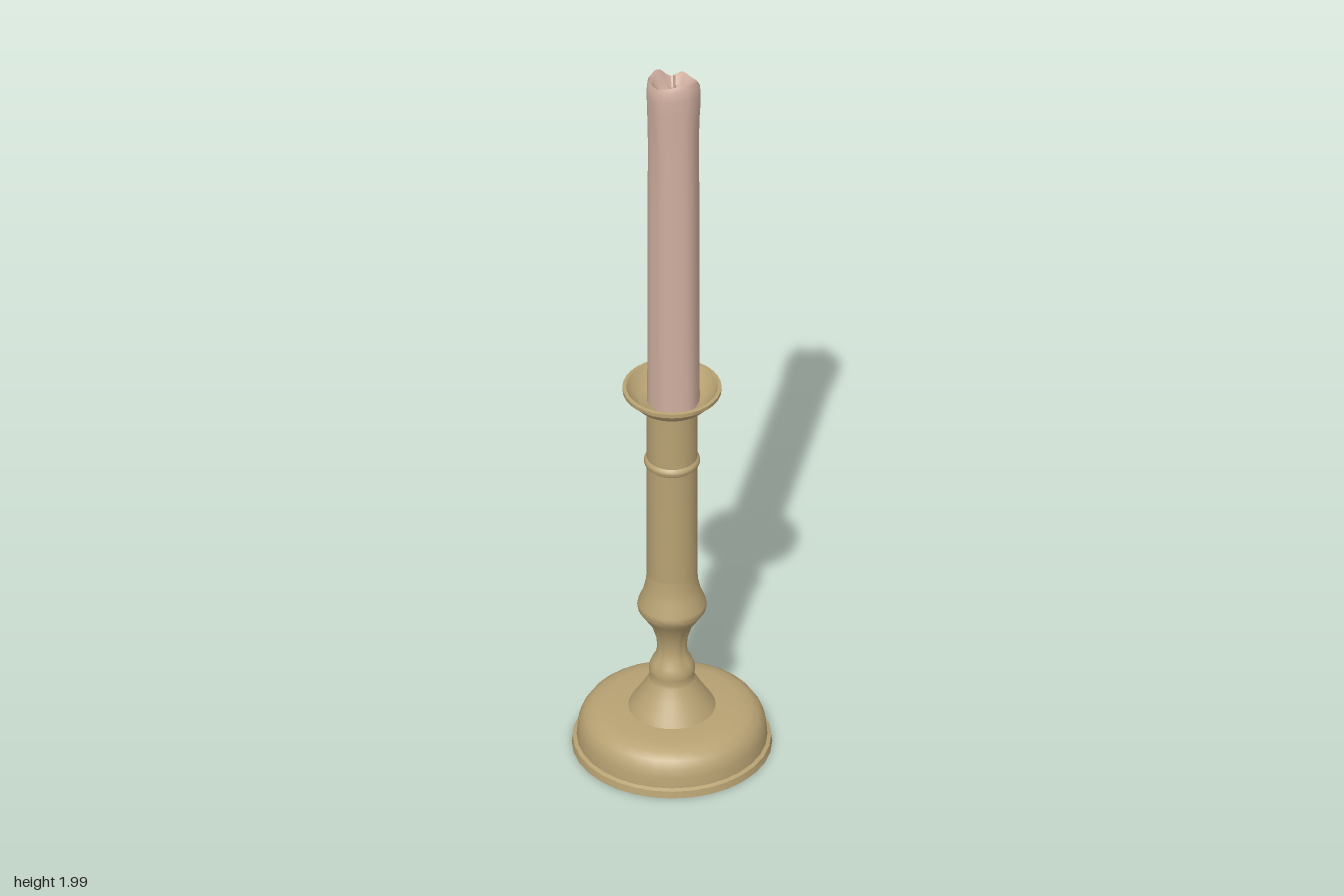
import * as THREE from 'three';
import { toCreasedNormals } from 'three/addons/utils/BufferGeometryUtils.js';

const brass = new THREE.MeshStandardMaterial({ color: 0xb8a273 });
brass.name = 'aged brass';
const wax = new THREE.MeshStandardMaterial({ color: 0xcfae9f });
wax.name = 'pale wax';

// Turned part from [radius, height] pairs listed bottom to top
function turned(name, profile, sides = 32) {
  const points = profile.map(([r, y]) => new THREE.Vector2(r, y));
  const mesh = new THREE.Mesh(toCreasedNormals(new THREE.LatheGeometry(points, sides), 0.6), brass);
  mesh.name = name;
  return mesh;
}

// Smooth bump around an angle, used for wax runs and notches
function bump(angle, centre, width) {
  const d = Math.atan2(Math.sin(angle - centre), Math.cos(angle - centre)) / width;
  return Math.exp(-d * d);
}

// Candle: a lathe whose rim, wall and melted bowl are moved by rule
function candle() {
  const profile = [
    [0.064, 1.0], [0.063, 1.3], [0.063, 1.6], [0.062, 1.78], [0.063, 1.85],
    [0.064, 1.9], [0.065, 1.94], [0.063, 1.965], [0.057, 1.976],
    [0.049, 1.968], [0.038, 1.945], [0.02, 1.933], [0, 1.93],
  ];
  const geometry = new THREE.LatheGeometry(profile.map(([r, y]) => new THREE.Vector2(r, y)), 28);
  const pos = geometry.attributes.position;
  const runs = [[-1.5, 0.22, 1.82], [0.5, 0.25, 1.86], [2.0, 0.2, 1.84], [-2.7, 0.25, 1.88]];
  for (let i = 0; i < pos.count; i++) {
    const x = pos.getX(i), y = pos.getY(i), z = pos.getZ(i);
    const r = Math.hypot(x, z);
    if (r < 0.001) { pos.setXYZ(i, 0.002, y, 0.004); continue; }
    const a = Math.atan2(x, z);
    let k = 1 + 0.025 * Math.cos(6 * a + 0.6) + 0.02 * Math.cos(2 * a + 0.4);
    // wax runs hanging below the rim
    for (const [centre, width, low] of runs) {
      if (y > low) k += 0.06 * bump(a, centre, width);
    }
    // uneven rim with a notch at the back
    const weight = THREE.MathUtils.smoothstep(y, 1.88, 1.965) * Math.min(1, r / 0.05);
    const rise = 0.010 * Math.cos(a + 0.9) + 0.009 * Math.cos(2 * a + 0.5) - 0.025 * bump(a, 2.5, 0.35);
    pos.setXYZ(i, x * k + 0.001, y + weight * rise, z * k + 0.004);
  }
  const mesh = new THREE.Mesh(toCreasedNormals(geometry, 0.6), wax);
  mesh.name = 'candle';
  return mesh;
}

export function createModel() {
  const model = new THREE.Group();
  model.name = 'candlestick';

  // Domed foot with a thin rim and closed underside
  model.add(turned('foot', [
    [0, 0], [0.245, 0], [0.242, 0.018], [0.233, 0.022], [0.231, 0.05], [0.226, 0.07],
    [0.214, 0.09], [0.195, 0.102], [0.165, 0.109], [0.1, 0.11],
  ]));

  // Cone, collar, waist and knop
  model.add(turned('baluster', [
    [0.108, 0.108], [0.098, 0.125], [0.075, 0.16], [0.057, 0.192], [0.054, 0.2],
    [0.056, 0.215], [0.056, 0.228], [0.05, 0.245], [0.04, 0.262], [0.036, 0.285],
    [0.039, 0.315], [0.05, 0.35], [0.07, 0.38], [0.083, 0.4], [0.085, 0.41],
    [0.083, 0.42], [0.071, 0.45], [0.064, 0.48], [0.062, 0.51],
  ]));

  // Straight stem with a raised band
  model.add(turned('stem', [
    [0.062, 0.5], [0.062, 0.828], [0.067, 0.833], [0.069, 0.84], [0.067, 0.847],
    [0.062, 0.852], [0.062, 1.005],
  ]));

  // Flared drip pan, outside then inside
  model.add(turned('dripPan', [
    [0.061, 1.0], [0.074, 1.006], [0.092, 1.018], [0.106, 1.033], [0.113, 1.045],
    [0.121, 1.048], [0.121, 1.058], [0.112, 1.059], [0.1, 1.04], [0.08, 1.025], [0.05, 1.018],
  ]));

  model.add(candle());

  // Stub of wick in the melted bowl
  const wick = new THREE.Mesh(new THREE.CylinderGeometry(0.003, 0.004, 0.06, 8), wax);
  wick.name = 'wick';
  wick.position.set(0.007, 1.955, 0.001);
  model.add(wick);

  return model;
}
